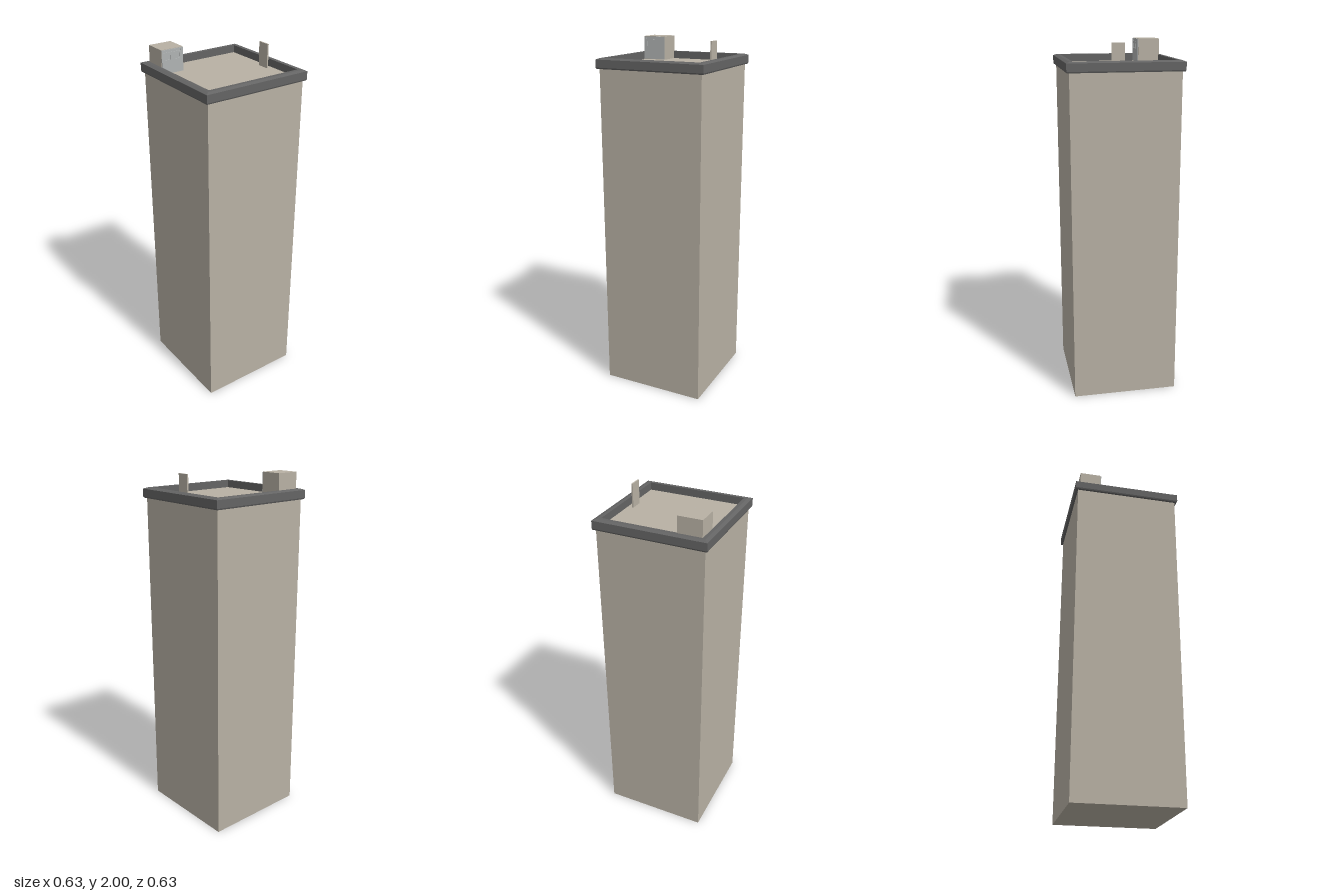
import * as THREE from 'three';

const stone = new THREE.MeshStandardMaterial({ color: 0xb8b1a4, flatShading: true });
const trim = new THREE.MeshStandardMaterial({ color: 0x646464, flatShading: true });
const metal = new THREE.MeshStandardMaterial({ color: 0xb0b3b3, flatShading: true });

// Box given by its minimum and maximum corners
function box(name, material, min, max) {
  const size = max.map((v, i) => v - min[i]);
  const mesh = new THREE.Mesh(new THREE.BoxGeometry(...size), material);
  mesh.position.set(...max.map((v, i) => (v + min[i]) / 2));
  mesh.name = name;
  return mesh;
}

// Rectangle outline centred on (x, y)
function rect(Type, x, y, w, h) {
  return new Type([[-1, -1], [1, -1], [1, 1], [-1, 1]].map(
    ([a, b]) => new THREE.Vector2(x + a * w / 2, y + b * h / 2)));
}

export function createModel() {
  const group = new THREE.Group();
  group.name = 'tower';
  const roofY = 1.87;

  // Main shaft, its top is the roof deck
  group.add(box('shaft', stone, [-0.298, 0, -0.298], [0.298, roofY, 0.298]));

  // Square parapet ring with a slightly bevelled section
  const section = [
    [0.276, 1.855], [0.31, 1.855], [0.313, 1.862], [0.313, 1.904],
    [0.295, 1.911], [0.276, 1.911], [0.276, 1.855],
  ].map(([r, y]) => new THREE.Vector2(r * Math.SQRT2, y));
  const parapet = new THREE.Mesh(new THREE.LatheGeometry(section, 4, Math.PI / 4), trim);
  parapet.name = 'parapet';
  group.add(parapet);

  // Rooftop equipment housing
  const housing = new THREE.Group();
  housing.name = 'roofHousing';
  housing.add(box('housingBody', stone, [-0.281, roofY, 0.143], [-0.159, 2, 0.275]));

  // Side panel with a slot and two windows cut into it
  const face = rect(THREE.Shape, 0, 0.065, 0.128, 0.126);
  face.holes.push(
    rect(THREE.Path, 0, 0.117, 0.106, 0.008),
    rect(THREE.Path, -0.027, 0.088, 0.032, 0.028),
    rect(THREE.Path, 0.027, 0.088, 0.032, 0.028));
  const panel = new THREE.Mesh(
    new THREE.ExtrudeGeometry(face, { depth: 0.004, bevelEnabled: false }), metal);
  panel.rotation.y = Math.PI / 2;
  panel.position.set(-0.158, roofY, 0.209);
  panel.name = 'windowPanel';
  housing.add(panel);
  housing.add(box('panelBacking', metal, [-0.161, roofY + 0.002, 0.145], [-0.1578, 1.998, 0.273]));
  group.add(housing);

  // Thin upright slab near the back edge
  group.add(box('roofSlab', stone, [0, roofY, -0.25], [0.07, 2, -0.242]));

  return group;
}
